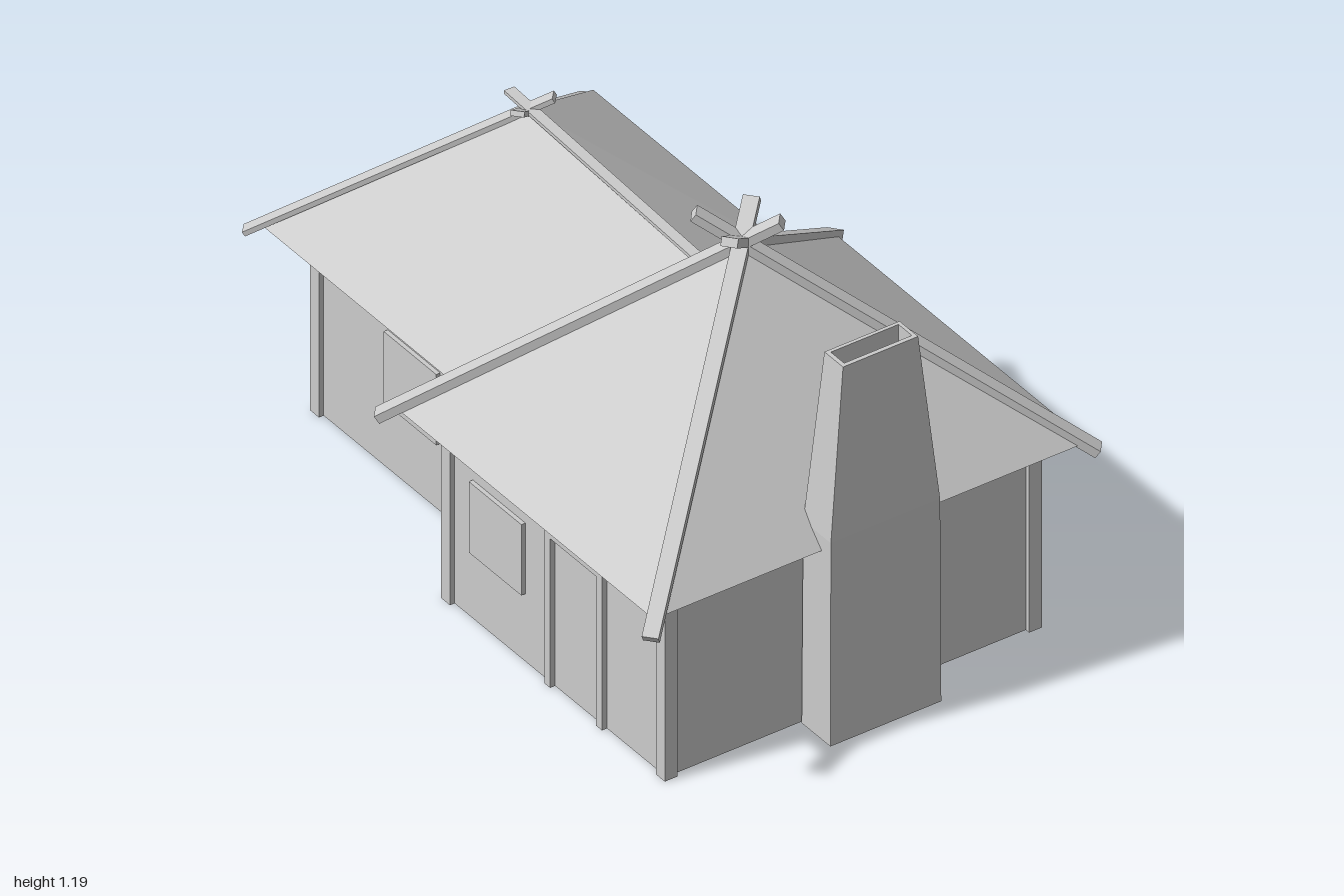
import * as THREE from 'three';

const grey = new THREE.MeshStandardMaterial({ color: 0xcccccc, flatShading: true, side: THREE.DoubleSide });

function add(parent, name, geometry) {
  const mesh = new THREE.Mesh(geometry, grey);
  mesh.name = name;
  parent.add(mesh);
  return mesh;
}

function addGroup(parent, name) {
  const group = new THREE.Group();
  group.name = name;
  parent.add(group);
  return group;
}

function box(parent, name, size, position) {
  add(parent, name, new THREE.BoxGeometry(...size)).position.set(...position);
}

// Square timber running between two points
function beam(parent, name, from, to, width, height) {
  const a = new THREE.Vector3(...from), b = new THREE.Vector3(...to);
  const mesh = add(parent, name, new THREE.BoxGeometry(width, height, a.distanceTo(b)));
  mesh.position.copy(a).lerp(b, 0.5);
  mesh.lookAt(b);
}

function surface(points, index) {
  const geometry = new THREE.BufferGeometry();
  geometry.setAttribute('position', new THREE.Float32BufferAttribute(points.flat(), 3));
  geometry.setIndex(index);
  geometry.computeVertexNormals();
  return geometry;
}

// Skin over a stack of rectangles [y, x0, x1, z0, z1], closed at the last one
function rectangleLoft(rings) {
  const points = [], index = [];
  rings.forEach(([y, x0, x1, z0, z1], r) => {
    points.push([x0, y, z1], [x1, y, z1], [x1, y, z0], [x0, y, z0]);
    if (r === 0) return;
    for (let i = 0; i < 4; i++) {
      const a = (r - 1) * 4 + i, b = (r - 1) * 4 + (i + 1) % 4;
      index.push(a, b, b + 4, a, b + 4, a + 4);
    }
  });
  const n = points.length - 4;
  index.push(n, n + 1, n + 2, n, n + 2, n + 3);
  return surface(points, index);
}

export function createModel() {
  const house = new THREE.Group();
  house.name = 'house';

  // Walls follow the outline of the main block and the side wing
  const outline = [
    [0.855, 0.535], [0.855, -0.55], [-0.055, -0.55], [-0.055, -0.36],
    [-0.875, -0.36], [-0.875, 0.342], [-0.055, 0.342], [-0.055, 0.535],
  ];
  const walls = addGroup(house, 'walls');
  outline.forEach(([x0, z0], i) => {
    const [x1, z1] = outline[(i + 1) % outline.length];
    const wall = add(walls, 'wall', new THREE.PlaneGeometry(Math.hypot(x1 - x0, z1 - z0), 0.6));
    wall.position.set((x0 + x1) / 2, 0.3, (z0 + z1) / 2);
    wall.rotation.y = Math.atan2(z0 - z1, x1 - x0);
  });

  // Corner posts
  const posts = addGroup(house, 'cornerPosts');
  for (const [x, z] of [
    [0.85, 0.53], [0.85, -0.547], [-0.05, 0.53], [-0.05, -0.547],
    [-0.072, 0.337], [-0.072, -0.355], [-0.872, 0.337], [-0.872, -0.355],
  ]) box(posts, 'cornerPost', [0.038, 0.59, 0.038], [x, 0.295, z]);

  // Window panels on the outside of the walls
  const windows = addGroup(house, 'windows');
  for (const [x, z] of [[-0.475, 0.348], [0.155, 0.541], [0.413, -0.556], [-0.45, -0.366]]) {
    box(windows, 'window', [0.22, 0.21, 0.012], [x, 0.305, z]);
  }
  box(windows, 'window', [0.02, 0.21, 0.22], [-0.877, 0.305, -0.025]);

  // Door frame
  const door = addGroup(house, 'doorFrame');
  for (const x of [0.378, 0.595]) box(door, 'doorJamb', [0.024, 0.46, 0.028], [x, 0.23, 0.536]);
  box(door, 'doorLintel', [0.241, 0.022, 0.028], [0.4865, 0.453, 0.536]);

  // Pyramid roof over the main block
  const apex = [0.403, 1.1, -0.008];
  add(house, 'mainRoof', surface([
    [-0.136, 0.556, 0.632], [0.94, 0.556, 0.632], [0.94, 0.556, -0.653], [-0.136, 0.556, -0.653], apex,
  ], [0, 1, 4, 1, 2, 4, 2, 3, 4, 3, 0, 4]));

  // Hipped roof over the wing, running into the main roof
  add(house, 'wingRoof', surface([
    [-0.955, 0.55, 0.453], [-0.12, 0.55, 0.453], [-0.12, 0.55, -0.527], [-0.955, 0.55, -0.527],
    [-0.515, 0.96, -0.02], [0.27, 0.945, -0.01],
  ], [0, 1, 5, 0, 5, 4, 2, 3, 4, 2, 4, 5, 3, 0, 4]));

  // Hip rafters, crossing above the peaks
  const rafters = addGroup(house, 'hipRafters');
  for (const [x, z, over] of [
    [-0.168, 0.667, 0.11], [0.977, 0.667, 0.11], [0.955, -0.673, 0.135], [-0.15, -0.673, 0.135],
  ]) {
    const top = [apex[0] + (apex[0] - x) * over, 1.105 + 0.55 * over, apex[2] + (apex[2] - z) * over];
    beam(rafters, 'mainRafter', [x, 0.532, z], top, 0.042, 0.024);
  }
  beam(rafters, 'wingRafter', [-0.98, 0.535, 0.487], [-0.47, 0.998, -0.07], 0.035, 0.014);
  beam(rafters, 'wingRafter', [-0.97, 0.53, -0.52], [-0.47, 0.993, 0.04], 0.035, 0.014);

  // Ridge pole of the wing
  beam(house, 'ridgePole', [-0.592, 0.967, -0.022], [0.27, 0.948, -0.005], 0.03, 0.01);

  // Tapered chimney with an open flue
  add(house, 'chimney', rectangleLoft([
    [0, 0.86, 0.98, -0.19, 0.138],
    [0.6, 0.862, 0.978, -0.188, 0.135],
    [1.09, 0.88, 0.958, -0.137, 0.085],
    [1.09, 0.89, 0.946, -0.127, 0.073],
    [0.98, 0.89, 0.946, -0.127, 0.073],
  ]));

  return house;
}
